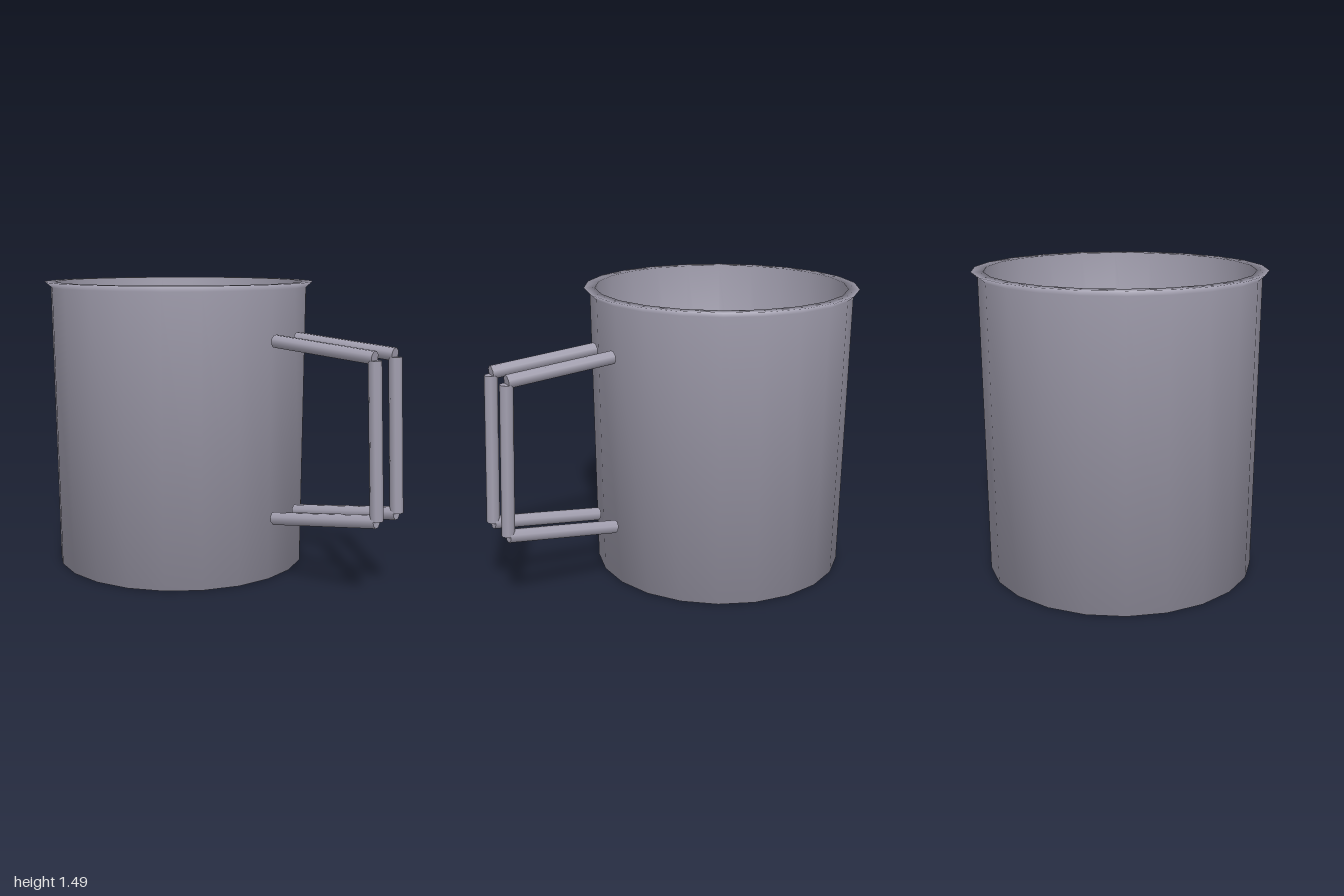
import * as THREE from 'three';

const steel = new THREE.MeshStandardMaterial({ color: 0xa19eae });
steel.name = 'steel';

// Straight eight-sided rod between two points
function rod(name, from, to, radius) {
  const dir = to.clone().sub(from);
  const geometry = new THREE.CylinderGeometry(radius, radius, dir.length(), 8);
  geometry.rotateY(Math.PI / 8);
  const mesh = new THREE.Mesh(geometry, steel);
  mesh.name = name;
  mesh.position.copy(from).add(to).multiplyScalar(0.5);
  mesh.quaternion.setFromUnitVectors(new THREE.Vector3(0, 1, 0), dir.normalize());
  return mesh;
}

// Wire handle made of three rods, at a given x
function handle(name, x) {
  const p = (y, z) => new THREE.Vector3(x, y, z);
  const group = new THREE.Group();
  group.name = name;
  group.add(
    rod('upperArm', p(1.213, 0.385), p(1.168, 0.935), 0.033),
    rod('grip', p(0.408, 0.967), p(1.155, 0.936), 0.0325),
    rod('lowerArm', p(0.325, 0.388), p(0.405, 0.966), 0.033)
  );
  return group;
}

export function createModel() {
  const model = new THREE.Group();
  model.name = 'cup';

  // Cup shell: base, outer wall, flared rim, inner wall and floor
  const profile = [
    [0, 0], [0.66, 0], [0.675, 1.458], [0.706, 1.485],
    [0.648, 1.485], [0.643, 0.03], [0, 0.03],
  ].map(([r, y]) => new THREE.Vector2(r, y));
  const shell = new THREE.Mesh(new THREE.LatheGeometry(profile, 22, Math.PI / 2), steel);
  shell.name = 'cupBody';
  shell.position.z = -0.3;
  model.add(shell);

  // Pair of handles at the front
  model.add(handle('leftHandle', 0.097), handle('rightHandle', -0.097));
  return model;
}
